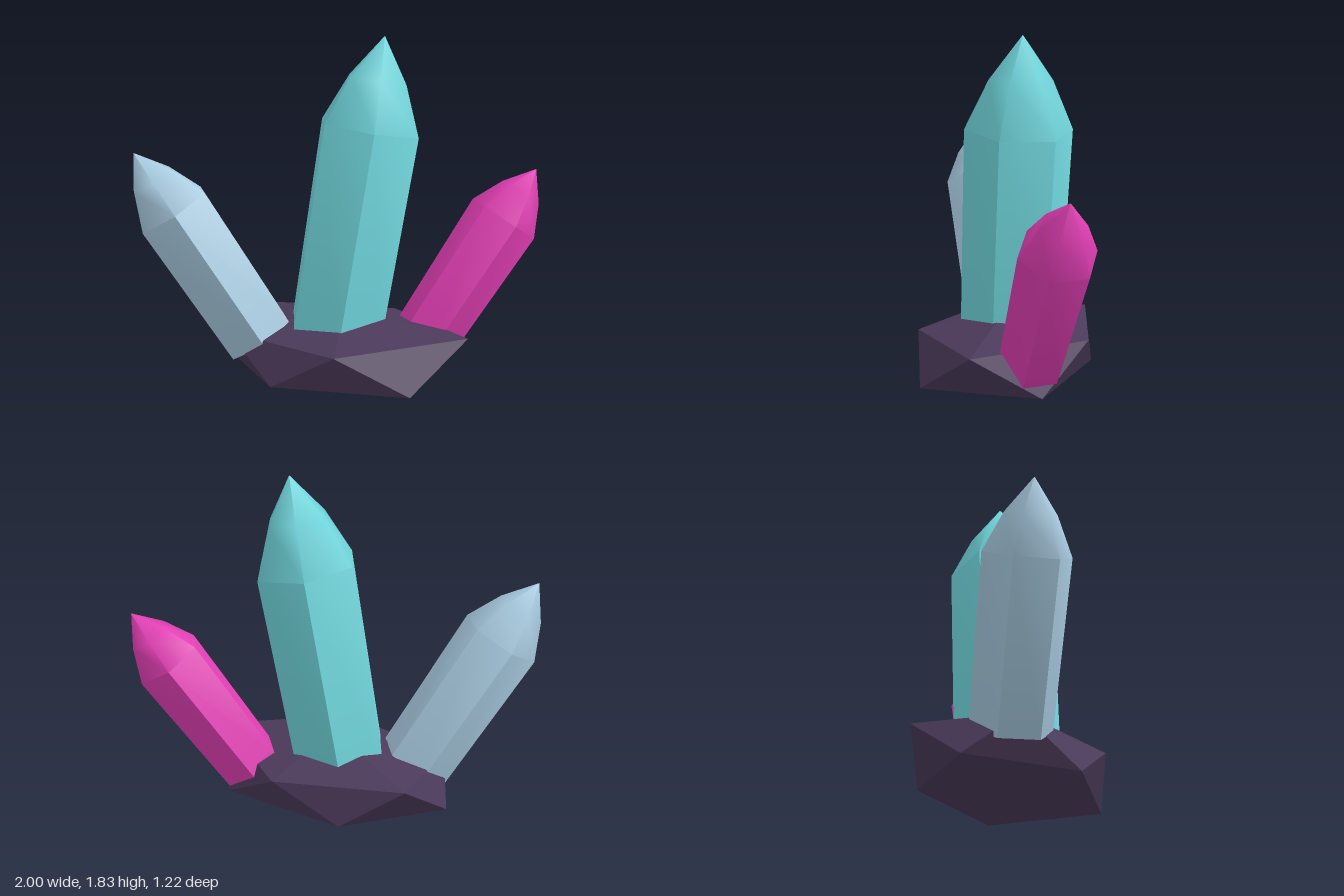
import * as THREE from 'three';
import { toCreasedNormals } from 'three/addons/utils/BufferGeometryUtils.js';
import { ConvexGeometry } from 'three/addons/geometries/ConvexGeometry.js';

const material = (name, color, flatShading = false) => {
  const m = new THREE.MeshStandardMaterial({ color, flatShading });
  m.name = name;
  return m;
};

// Six-sided crystal: shoulder is the centre of the ring where the point begins.
function crystal(name, mat, { shoulder, tip, radius, length, taper, spin = 0 }) {
  const s = new THREE.Vector3(...shoulder);
  const axis = new THREE.Vector3(...tip).sub(s);
  const point = axis.length();
  axis.normalize();

  // Profile along the axis: closed base, shoulder, bevel ring, tip
  const profile = [
    [0, -length],
    [radius * taper, -length],
    [radius, 0],
    [radius * 0.585, point * 0.53],
    [0, point],
  ].map(([r, y]) => new THREE.Vector2(r, y));
  const lathe = new THREE.LatheGeometry(profile, 6, Math.PI / 2 - spin);

  // Sharp long edges, softly shaded point
  const mesh = new THREE.Mesh(toCreasedNormals(lathe, THREE.MathUtils.degToRad(57)), mat);
  const side = new THREE.Vector3(axis.y, -axis.x, 0).normalize();
  const front = side.clone().cross(axis);
  mesh.quaternion.setFromRotationMatrix(new THREE.Matrix4().makeBasis(side, axis, front));
  mesh.position.copy(s);
  mesh.name = name;
  return mesh;
}

export function createModel() {
  const model = new THREE.Group();
  model.name = 'crystalCluster';

  // Faceted rock: flat five-sided foot, staggered upper ring and a low peak
  const rockPoints = [
    [0.54, 0, 0.36], [-0.2, 0, 0.48], [-0.66, 0, 0.03], [-0.2, 0, -0.4], [0.54, 0, -0.3],
    [0.75, 0.245, 0.02], [0.17, 0.21, 0.5], [-0.54, 0.21, 0.29], [-0.54, 0.23, -0.29], [0.17, 0.22, -0.46],
    [0.04, 0.345, 0.02],
  ].map((p) => new THREE.Vector3(...p));
  const rock = new THREE.Mesh(new ConvexGeometry(rockPoints), material('darkPurpleRock', 0x4b3a5a, true));
  rock.name = 'rockBase';
  model.add(rock);

  // Tall centre crystal and the two leaning side crystals
  model.add(
    crystal('centreCrystal', material('teal', 0x70d6dc), {
      shoulder: [0.15, 1.335, -0.07], tip: [0.22, 1.83, -0.11],
      radius: 0.292, length: 1.25, taper: 0.95, spin: THREE.MathUtils.degToRad(5),
    }),
    crystal('rightCrystal', material('paleBlue', 0xa8cbe0), {
      shoulder: [-0.8, 0.905, 0.42], tip: [-0.97, 1.22, 0.52],
      radius: 0.225, length: 0.86, taper: 0.94,
    }),
    crystal('leftCrystal', material('magenta', 0xe03eb3), {
      shoulder: [0.81, 0.815, -0.44], tip: [0.966, 1.09, -0.535],
      radius: 0.203, length: 0.79, taper: 0.9,
    }),
  );
  return model;
}
